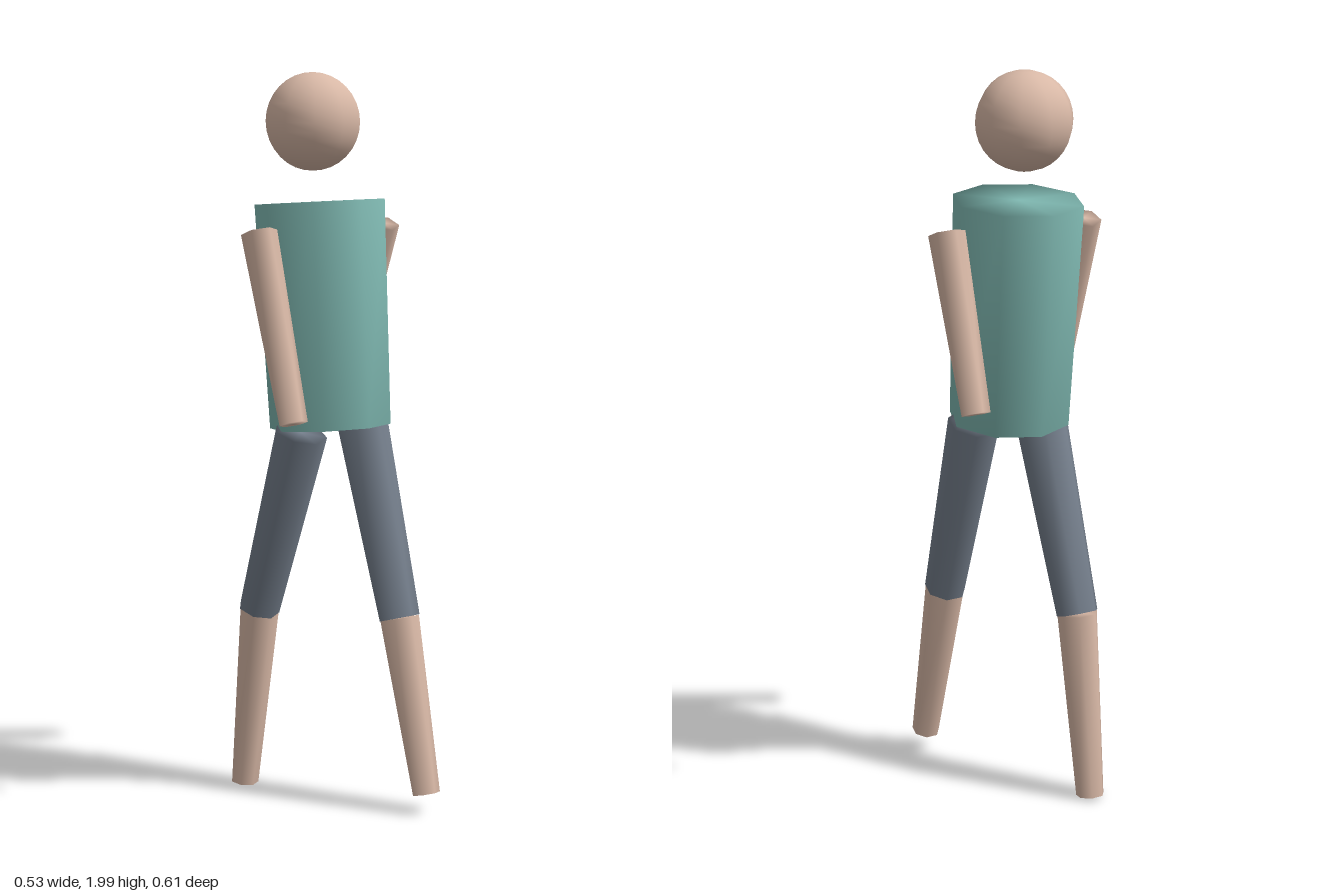
import * as THREE from 'three';
import { mergeVertices } from 'three/addons/utils/BufferGeometryUtils.js';

const material = (name, color) => {
  const m = new THREE.MeshStandardMaterial({ color });
  m.name = name;
  return m;
};

// Weld the seams and caps so the whole surface shades smoothly
function soften(geometry) {
  geometry.deleteAttribute('normal');
  geometry.deleteAttribute('uv');
  const welded = mergeVertices(geometry, 1e-4);
  welded.computeVertexNormals();
  return welded;
}

// Tapered, capped cylinder running from a top point to a bottom point
function segment(name, mat, top, bottom, rTop, rBottom, sides) {
  const a = new THREE.Vector3(...top);
  const b = new THREE.Vector3(...bottom);
  const axis = a.clone().sub(b);
  const mesh = new THREE.Mesh(
    soften(new THREE.CylinderGeometry(rTop, rBottom, axis.length(), sides)), mat);
  mesh.name = name;
  mesh.position.copy(a).add(b).multiplyScalar(0.5);
  mesh.quaternion.setFromUnitVectors(new THREE.Vector3(0, 1, 0), axis.normalize());
  return mesh;
}

export function createModel() {
  const group = new THREE.Group();
  group.name = 'walkingFigure';
  const skin = material('skin', 0xd8b8a6);
  const shirt = material('shirt', 0x7fb8b1);
  const trousers = material('trousers', 0x747e8b);

  // Head: ten-sided ball floating above the shoulders
  const ball = new THREE.SphereGeometry(0.132, 10, 16);
  ball.rotateY(Math.PI / 2);
  const head = new THREE.Mesh(soften(ball), skin);
  head.name = 'head';
  head.position.set(0, 1.868, -0.086);
  group.add(head);

  // Torso leans slightly back
  group.add(segment('torso', shirt, [0, 1.654, -0.057], [0, 1.047, -0.011], 0.177, 0.165, 8));

  // Limbs in mid-stride: side sign, arm end points, then hip, knee and ankle, as [y, z]
  const poses = [
    { side: 'left', s: 1, shoulder: [1.588, -0.048], hand: [1.143, -0.222],
      hip: [1.047, -0.005], knee: [0.526, 0.156], ankle: [0.058, 0.272] },
    { side: 'right', s: -1, shoulder: [1.582, -0.046], hand: [1.09, 0.124],
      hip: [1.04, -0.008], knee: [0.522, -0.197], ankle: [0.011, -0.267] },
  ];
  for (const p of poses) {
    const at = (x, yz) => [p.s * x, ...yz];
    group.add(
      segment(p.side + 'Arm', skin, at(0.214, p.shoulder), at(0.233, p.hand), 0.049, 0.038, 6),
      segment(p.side + 'Thigh', trousers, at(0.105, p.hip), at(0.105, p.knee), 0.073, 0.058, 7),
      segment(p.side + 'Calf', skin, at(0.105, p.knee), at(0.105, p.ankle), 0.056, 0.039, 7),
    );
  }
  return group;
}
